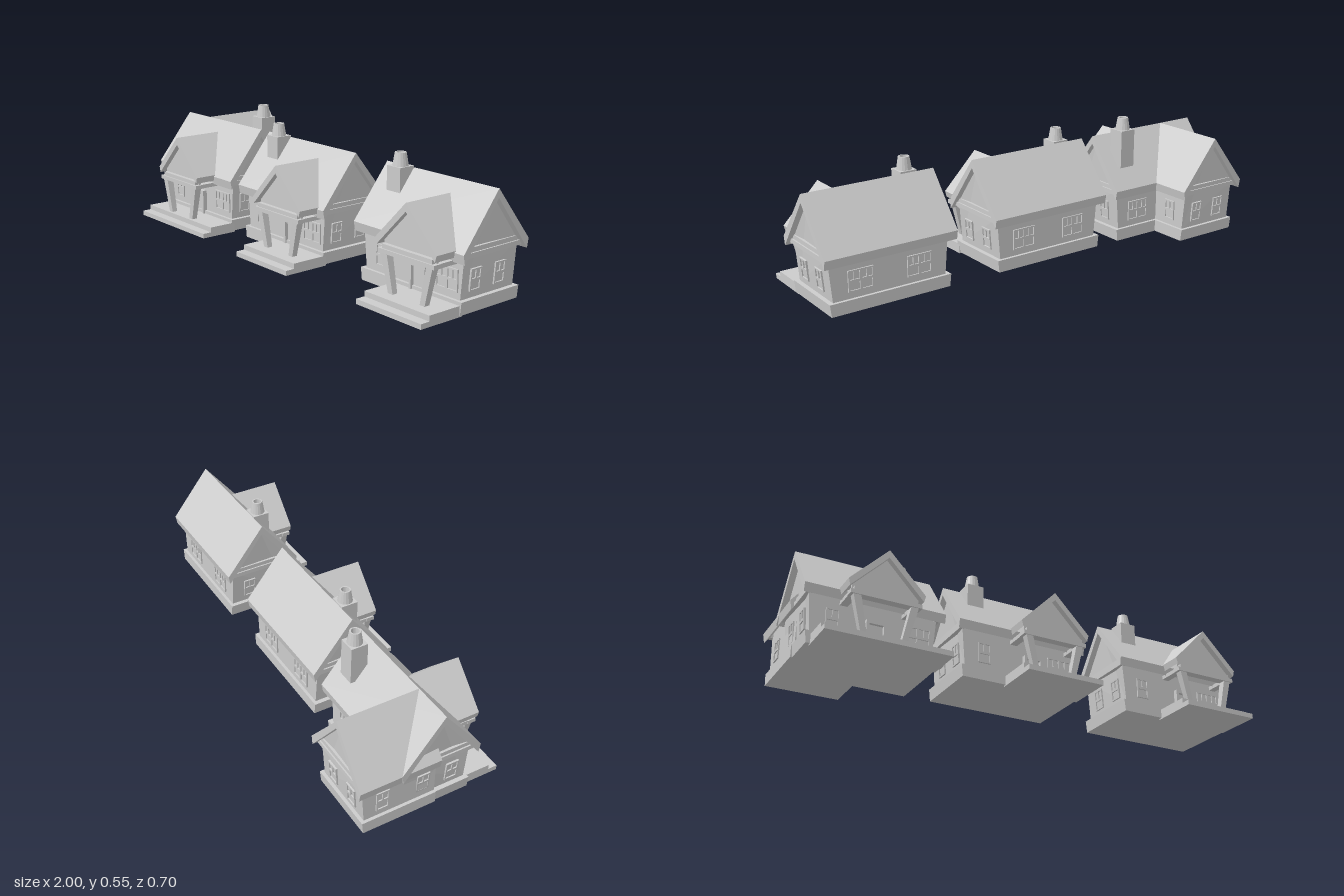
import * as THREE from 'three';

const mat = new THREE.MeshStandardMaterial({ color: 0xcccccc });
const paneMat = new THREE.MeshStandardMaterial({ color: 0xcccccc });

function add(parent, name, geo, x = 0, y = 0, z = 0, m = mat) {
  const mesh = new THREE.Mesh(geo, m);
  mesh.name = name;
  mesh.position.set(x, y, z);
  parent.add(mesh);
  return mesh;
}

function block(parent, name, x0, x1, y0, y1, z0, z1) {
  return add(parent, name, new THREE.BoxGeometry(x1 - x0, y1 - y0, z1 - z0),
    (x0 + x1) / 2, (y0 + y1) / 2, (z0 + z1) / 2);
}

const shapeOf = pts => new THREE.Shape(pts.map(p => new THREE.Vector2(...p)));

// Cross-section in x/y run from z0 to z1
function prism(pts, z0, z1) {
  return new THREE.ExtrudeGeometry(shapeOf(pts), { depth: z1 - z0, bevelEnabled: false }).translate(0, 0, z0);
}

function deform(geo, rule) {
  const p = geo.attributes.position, v = new THREE.Vector3();
  for (let i = 0; i < p.count; i++) {
    v.fromBufferAttribute(p, i);
    rule(v);
    p.setXYZ(i, v.x, v.y, v.z);
  }
  geo.computeVertexNormals();
  return geo;
}

// Ends lean outwards between heights y0 and y1
function flare(geo, amount, y0, y1) {
  return deform(geo, v => {
    const t = THREE.MathUtils.clamp((v.y - y0) / (y1 - y0), 0, 1);
    v.z += Math.sign(v.z) * amount * t;
  });
}

const roofSection = (apex, half, edge, low, inner) =>
  [[0, apex], [-half, edge], [-half + 0.007, low], [0, inner], [half - 0.007, low], [half, edge]];
const mainRoof = roofSection(0.46, 0.175, 0.243, 0.205, 0.425);
const porchRoof = roofSection(0.411, 0.158, 0.25, 0.223, 0.378);
const wallSection = [[-0.142, 0.05], [0.142, 0.05], [0.142, 0.24], [0, 0.424], [-0.142, 0.24]];
const baseSection = [[-0.155, 0.005], [0.155, 0.005], [0.155, 0.057], [-0.155, 0.057]];

// Framed sash window: two small panes above one wide pane
function sash() {
  const frame = shapeOf([[-0.028, -0.044], [0.028, -0.044], [0.028, 0.044], [-0.028, 0.044]]);
  for (const [x0, x1, y0, y1] of [[-0.022, -0.003, 0.005, 0.038], [0.003, 0.022, 0.005, 0.038], [-0.022, 0.022, -0.038, -0.005]]) {
    frame.holes.push(new THREE.Path([[x0, y0], [x0, y1], [x1, y1], [x1, y0]].map(p => new THREE.Vector2(...p))));
  }
  return new THREE.ExtrudeGeometry(frame, { depth: 0.008, bevelEnabled: false });
}

function addWindow(parent, x, z, turn, count = 1, tilt = 0) {
  const g = new THREE.Group();
  g.name = 'window';
  g.position.set(x, 0.128, z);
  g.rotation.set(tilt, turn, 0, 'YXZ');
  for (let i = 0; i < count; i++) {
    const ox = (i - (count - 1) / 2) * 0.054;
    add(g, 'windowFrame', sash(), ox, 0, -0.002);
    add(g, 'windowPane', new THREE.PlaneGeometry(0.05, 0.084), ox, 0, 0.001, paneMat);
  }
  parent.add(g);
}

// Stacked trim boards under a gable, lying against an end facing +z
function addGableTrim(parent, z) {
  add(parent, 'gableTrim', prism([[-0.155, 0.218], [0.155, 0.218], [0.143, 0.237], [-0.143, 0.237]], z - 0.01, z + 0.012));
  add(parent, 'gableTrim', prism([[-0.143, 0.237], [0.143, 0.237], [0.13, 0.255], [-0.13, 0.255]], z - 0.01, z + 0.006));
}

function addChimney(parent, x, z, top) {
  block(parent, 'chimney', x - 0.037, x + 0.037, 0.33, top, z - 0.037, z + 0.037);
  const pot = [[0.032, 0], [0.023, 0.053], [0.017, 0.053], [0.015, 0.015], [0, 0.015]];
  const geo = new THREE.LatheGeometry(pot.map(p => new THREE.Vector2(...p)), 16).toNonIndexed();
  geo.computeVertexNormals();
  add(parent, 'chimneyPot', geo, x, top, z);
}

function addPorch(house, cx, x0, x1, front) {
  const p = new THREE.Group();
  p.name = 'porch';
  house.add(p);
  // Platform and step
  block(p, 'porchFloor', x0, x1, 0, 0.043, 0.14, front);
  block(p, 'step', x0, x1, 0, 0.021, front, front + 0.041);
  // Gabled roof with recessed infill
  add(p, 'porchRoof', prism(porchRoof, 0.035, 0.268), cx);
  add(p, 'porchGable', prism([[-0.135, 0.205], [0.135, 0.205], [0.135, 0.24], [0, 0.38], [-0.135, 0.24]], 0.232, 0.242), cx);
  block(p, 'frontBeam', cx - 0.146, cx + 0.146, 0.194, 0.211, 0.23, 0.266);
  block(p, 'gableBeam', cx - 0.13, cx + 0.13, 0.211, 0.228, 0.234, 0.26);
  for (const s of [-1, 1]) {
    const bx = cx + s * 0.128;
    block(p, 'sideBeam', bx - 0.016, bx + 0.016, 0.194, 0.211, 0.142, 0.232);
    // Post leans outwards and widens towards the top
    const post = deform(new THREE.BoxGeometry(0.025, 0.154, 0.024), v => {
      const up = v.y > 0;
      if (up) { v.x *= 1.25; v.z *= 1.3; }
      v.x += s * (up ? 0.118 : 0.083);
    });
    add(p, 'post', post, cx, 0.119, 0.246);
  }
}

function addDoor(parent, x) {
  const g = new THREE.Group();
  g.name = 'door';
  const frame = shapeOf([[-0.042, 0.043], [-0.03, 0.043], [-0.03, 0.138], [0.03, 0.138], [0.03, 0.043], [0.042, 0.043], [0.042, 0.152], [-0.042, 0.152]]);
  add(g, 'doorFrame', new THREE.ExtrudeGeometry(frame, { depth: 0.022, bevelEnabled: false }), x, 0, 0.14);
  block(g, 'doorLeaf', x - 0.031, x + 0.031, 0.043, 0.139, 0.14, 0.148);
  parent.add(g);
}

function buildHouse({ x, porch, door, chimney, wing }) {
  const house = new THREE.Group();
  house.name = 'house';
  house.position.x = x;

  // Long body, running along x
  const body = new THREE.Group();
  body.name = 'body';
  body.rotation.y = Math.PI / 2;
  house.add(body);
  add(body, 'base', flare(prism(baseSection, -0.264, 0.264), 0.006, 0.005, 0.057));
  add(body, 'walls', flare(prism(wallSection, -0.25, 0.25), 0.016, 0.05, 0.24));
  add(body, 'roof', prism(mainRoof, -0.292, 0.292));

  // Both gable ends
  for (const s of [1, -1]) {
    const end = new THREE.Group();
    end.name = 'gableEnd';
    end.rotation.y = s * Math.PI / 2;
    addGableTrim(end, 0.264);
    for (const wx of [-0.074, 0.056]) addWindow(end, wx * s, 0.257, 0, 1, 0.085);
    house.add(end);
  }

  // Front and back openings
  addWindow(house, -0.165, 0.142, 0);
  addWindow(house, 0.185, 0.142, 0, 2);
  addDoor(house, door);
  for (const wx of wing ? [0.14] : [-0.13, 0.13]) addWindow(house, wx, -0.142, Math.PI, 2);

  addPorch(house, ...porch);
  addChimney(house, ...chimney);

  // Rear wing
  if (wing) {
    const w = new THREE.Group();
    w.name = 'rearWing';
    w.position.x = -0.117;
    w.rotation.y = Math.PI;
    add(w, 'wingBase', flare(prism(baseSection, 0, 0.322), 0.006, 0.005, 0.057));
    add(w, 'wingWalls', flare(prism(wallSection, 0, 0.313), 0.016, 0.05, 0.24));
    add(w, 'wingRoof', prism(mainRoof, 0, 0.354));
    addGableTrim(w, 0.327);
    for (const s of [-1, 1]) {
      addWindow(w, s * 0.065, 0.32, 0, 1, 0.085);
      addWindow(w, s * 0.142, 0.235, s * Math.PI / 2);
    }
    house.add(w);
  }
  return house;
}

export function createModel() {
  const model = new THREE.Group();
  model.name = 'cottageRow';
  const houses = [
    { x: -0.708, porch: [0.004, -0.247, 0.268, 0.27], door: 0.008, chimney: [0.193, -0.088, 0.497], wing: true },
    { x: -0.0625, porch: [0.098, -0.073, 0.268, 0.308], door: 0.055, chimney: [-0.174, 0.037, 0.467] },
    { x: 0.708, porch: [0.091, -0.08, 0.261, 0.308], door: 0.047, chimney: [-0.178, 0.037, 0.467] },
  ];
  for (const h of houses) model.add(buildHouse(h));
  return model;
}
